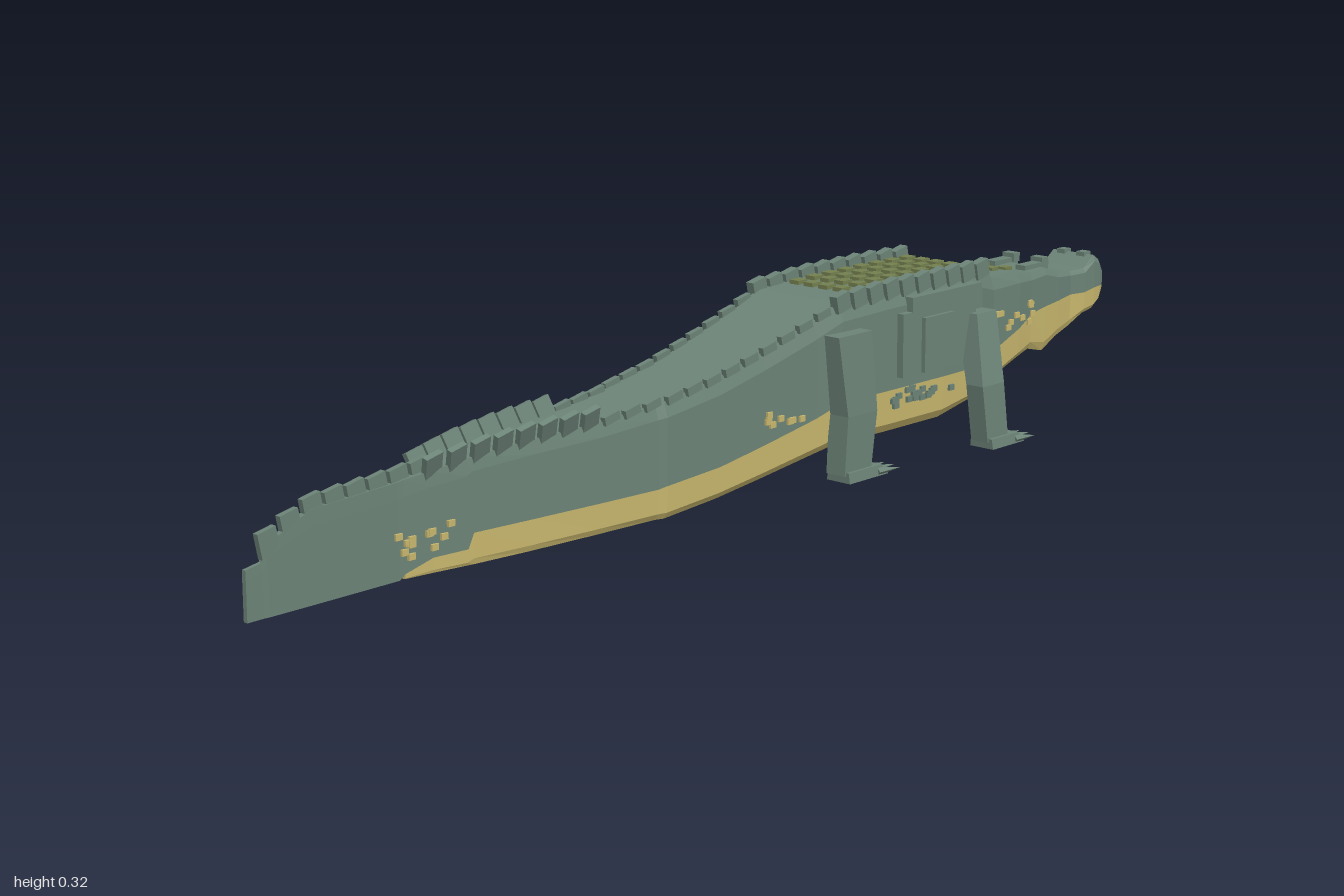
import * as THREE from 'three';

const mat = (name, color) => Object.assign(new THREE.MeshStandardMaterial({ color, flatShading: true }), { name });

// Body stations: z, top, colour split, belly, half width
const stations = [
  [-1, 0.235, 0.205, 0.195, 0.042], [-0.985, 0.255, 0.205, 0.175, 0.047], [-0.965, 0.266, 0.205, 0.165, 0.05],
  [-0.935, 0.245, 0.2, 0.16, 0.05], [-0.9, 0.243, 0.2, 0.14, 0.043], [-0.85, 0.25, 0.197, 0.13, 0.052],
  [-0.8, 0.266, 0.195, 0.112, 0.06], [-0.75, 0.265, 0.19, 0.124, 0.066], [-0.7, 0.273, 0.172, 0.115, 0.076],
  [-0.61, 0.28, 0.145, 0.09, 0.085], [-0.56, 0.3, 0.13, 0.075, 0.098], [-0.45, 0.302, 0.13, 0.056, 0.102],
  [-0.3, 0.302, 0.13, 0.056, 0.102], [-0.18, 0.297, 0.13, 0.058, 0.1], [-0.12, 0.275, 0.112, 0.048, 0.094],
  [0, 0.24, 0.088, 0.03, 0.087], [0.1, 0.214, 0.07, 0.016, 0.081], [0.215, 0.195, 0.06, 0.005, 0.074],
  [0.23, 0.193, 0.056, 0.005, 0.068], [0.35, 0.182, 0.055, 0.004, 0.056], [0.48, 0.178, 0.055, 0.004, 0.044],
  [0.59, 0.17, 0.054, 0.004, 0.03], [0.6, 0.168, 0.03, 0.004, 0.028], [0.66, 0.16, 0.028, 0.004, 0.017],
  [0.71, 0.155, 0.012, 0.004, 0.01], [0.72, 0.153, 0.004, 0.003, 0.009],
  [0.88, 0.145, 0.003, 0.002, 0.006], [0.96, 0.11, 0.003, 0.002, 0.005], [0.97, 0.085, 0.003, 0.002, 0.004], [1, 0.08, 0.003, 0.002, 0.004],
];

// Interpolated station values at z
function at(z) {
  let i = 0;
  while (i < stations.length - 2 && stations[i + 1][0] < z) i++;
  const a = stations[i], b = stations[i + 1], t = (z - a[0]) / (b[0] - a[0]);
  const [, top, split, belly, w] = a.map((v, k) => v + (b[k] - v) * t);
  return { top, split, belly, w };
}

// Skin over a list of matching rings, closed at both ends
function loft(rings) {
  const n = rings[0].length, pos = [];
  const tri = (...p) => p.forEach(v => pos.push(...v));
  for (let i = 0; i < rings.length - 1; i++) {
    for (let j = 0; j < n; j++) {
      const k = (j + 1) % n, a = rings[i][j], b = rings[i][k], c = rings[i + 1][k], d = rings[i + 1][j];
      tri(a, b, c); tri(a, c, d);
    }
  }
  const first = rings[0], last = rings[rings.length - 1];
  for (let j = 1; j < n - 1; j++) { tri(first[0], first[j + 1], first[j]); tri(last[0], last[j], last[j + 1]); }
  const g = new THREE.BufferGeometry();
  g.setAttribute('position', new THREE.Float32BufferAttribute(pos, 3));
  g.computeVertexNormals();
  return g;
}

// Tapered block between two rectangles: [x, y, z, width, depth]
function prism(bottom, top) {
  const g = new THREE.BoxGeometry(1, 1, 1), p = g.attributes.position;
  for (let i = 0; i < p.count; i++) {
    const r = p.getY(i) < 0 ? bottom : top;
    p.setXYZ(i, r[0] + p.getX(i) * r[3], r[1], r[2] + p.getZ(i) * r[4]);
  }
  g.computeVertexNormals();
  return g;
}

export function createModel() {
  const green = mat('hideGreen', 0x6c8377), gold = mat('bellyGold', 0xc9b86e), olive = mat('scuteOlive', 0x74804f);
  const model = new THREE.Group();
  const add = (name, geo, material, x = 0, y = 0, z = 0, parent = model) => {
    const m = new THREE.Mesh(geo, material);
    m.name = name;
    m.position.set(x, y, z);
    parent.add(m);
    return m;
  };
  const box = (name, material, w, h, d, x, y, z) => add(name, new THREE.BoxGeometry(w, h, d), material, x, y, z);
  let seed = 7;
  const rand = () => (seed = (seed * 16807) % 2147483647) / 2147483647;

  // Hide and belly
  add('hide', loft(stations.map(([z, t, s, , w]) => {
    const h = s + (t - s) * 0.82;
    return [[w, s, z], [w, h, z], [w * 0.9, t, z], [-w * 0.9, t, z], [-w, h, z], [-w, s, z]];
  })), green);
  add('belly', loft(stations.filter(s => s[0] < 0.72).map(([z, , s, b, w]) => {
    const l = b + (s - b) * 0.2;
    return [[w, s, z], [-w, s, z], [-w * 0.97, l, z], [-w * 0.87, b, z], [w * 0.87, b, z], [w * 0.97, l, z]];
  })), gold);

  for (const side of [1, -1]) {
    // Flank plates
    box('flankPlate', green, 0.03, 0.11, 0.2, side * 0.1, 0.205, -0.42);
    box('flankPlateOuter', green, 0.02, 0.095, 0.08, side * 0.113, 0.2, -0.41);
    box('shoulderPlate', green, 0.03, 0.04, 0.19, side * 0.1, 0.265, -0.44);

    // Edge scutes along back and tail
    for (let z = -0.56; z < 0.67; z += 0.042) {
      const { top, w } = at(z), back = z < -0.15, tail = z > 0.33;
      const h = back ? 0.03 : tail ? 0.04 : 0.014;
      const s = box('edgeScute', green, back ? 0.016 : 0.01, h, 0.033, side * w * 0.92, top + (tail ? 0.008 : 0.002), z);
      s.rotation.set(0.22, 0, tail ? -side * 0.35 : 0);
    }

    // Eyes, brows and nostrils
    box('brow', green, 0.022, 0.014, 0.07, side * 0.034, 0.267, -0.79);
    box('eye', green, 0.026, 0.016, 0.018, side * 0.032, 0.274, -0.815);
    box('nostril', green, 0.018, 0.008, 0.02, side * 0.022, 0.266, -0.966);

    // Speckles where hide meets belly: z from, z to, y from, y to, material
    const patches = [[0.63, 0.73, 0.035, 0.08, gold, 12], [-0.1, 0, 0.11, 0.14, gold, 8],
      [-0.48, -0.3, 0.1, 0.127, green, 18], [-0.76, -0.6, 0.175, 0.215, gold, 12]];
    for (const [z0, z1, y0, y1, material, n] of patches) {
      for (let i = 0; i < n; i++) {
        const z = z0 + (z1 - z0) * rand(), y = y0 + (y1 - y0) * rand();
        box('speckle', material, 0.008, 0.01, 0.013, side * at(z).w, y, z);
      }
    }

    // Legs: hip or shoulder, knee, ankle, foot
    const legs = [
      { name: 'hindLeg', hip: [0.11, 0.25, -0.18, 0.034, 0.085], knee: [0.115, 0.115, -0.19, 0.042, 0.075], ankle: [0.115, 0.015, -0.18, 0.04, 0.068], foot: [0.118, -0.2, 0.05, 0.1] },
      { name: 'frontLeg', hip: [0.108, 0.235, -0.53, 0.045, 0.055], knee: [0.147, 0.115, -0.508, 0.036, 0.06], ankle: [0.15, 0.015, -0.52, 0.036, 0.058], foot: [0.152, -0.54, 0.05, 0.09] },
    ];
    for (const { name, hip, knee, ankle, foot } of legs) {
      const leg = new THREE.Group();
      leg.name = name;
      model.add(leg);
      const flip = r => [side * r[0], ...r.slice(1)];
      add('upperLeg', prism(flip(knee), flip(hip)), green, 0, 0, 0, leg);
      add('lowerLeg', prism(flip(ankle), flip(knee)), green, 0, 0, 0, leg);
      const [x, z, w, d] = foot;
      add('foot', prism([side * x, 0.003, z, w, d], [side * x, 0.021, z + 0.008, w * 0.9, d * 0.85]), green, 0, 0, 0, leg);
      for (let i = 0; i < 4; i++) {
        const t = i / 3 - 0.5;
        const claw = add('claw', new THREE.ConeGeometry(0.008, 0.05, 4), green, side * x + t * w * 1.05, 0.01, z - d / 2 - 0.012 + Math.abs(t) * 0.025, leg);
        claw.rotation.set(-Math.PI / 2, 0, t * -0.4);
      }
    }
  }

  // Rows of back and neck scutes
  for (let z = -0.55; z < -0.23; z += 0.042) {
    for (let i = -2; i <= 2; i++) box('backScute', olive, 0.02, 0.009, 0.024, i * 0.032, at(z).top + 0.002, z);
  }
  for (const z of [-0.72, -0.68, -0.64]) {
    for (const x of [-0.025, 0.025]) box('neckScute', olive, 0.018, 0.008, 0.02, x, at(z).top + 0.002, z);
  }

  // Single crest towards the tail tip
  for (let z = 0.67; z < 0.96; z += 0.041) {
    box('tailCrest', green, 0.01, 0.04, 0.034, 0, at(z).top, z).rotation.x = 0.2;
  }
  return model;
}
